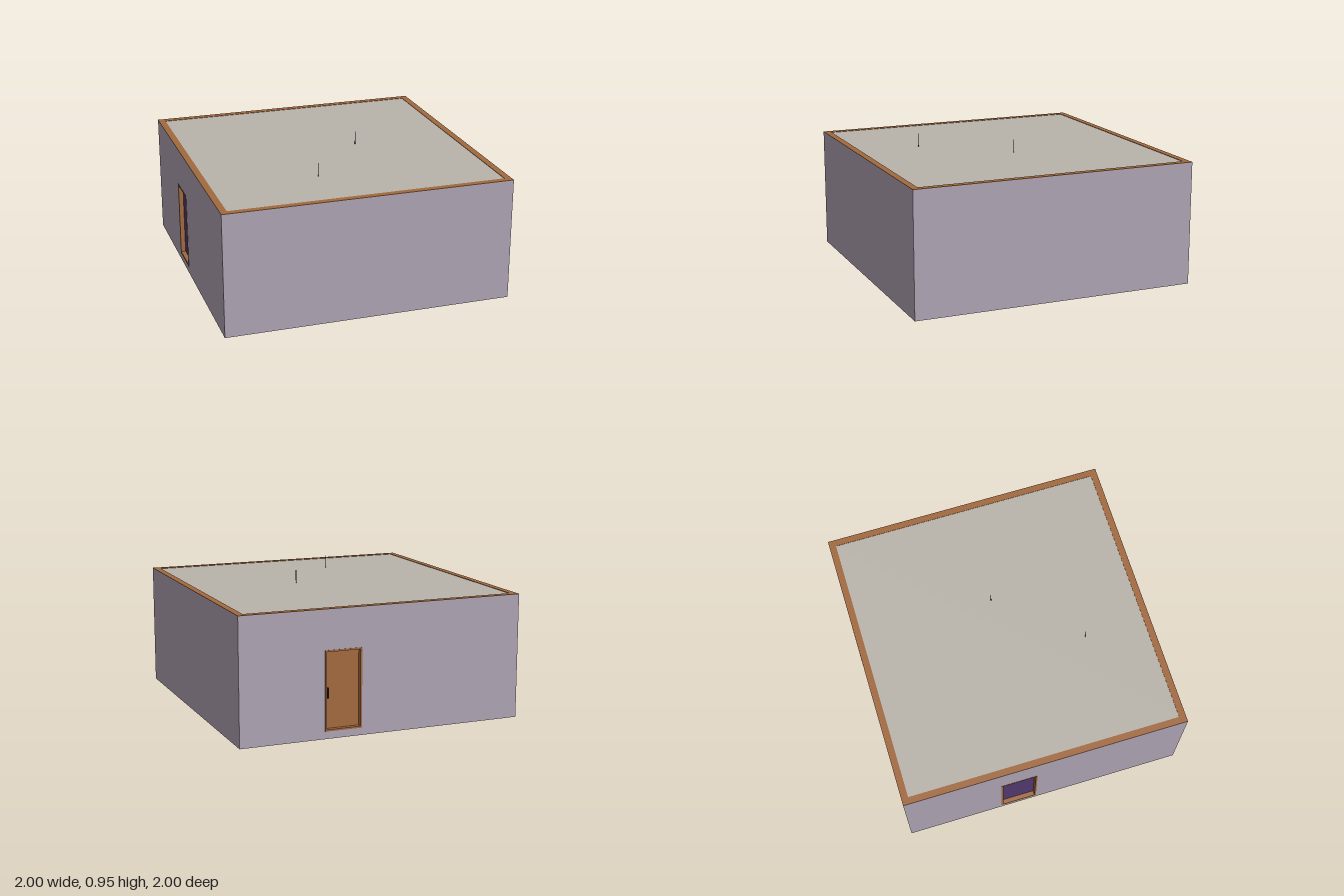
import * as THREE from 'three';

const H = 0.86, T = 0.047;                 // wall height and thickness
const DOOR = { w: 0.26, y0: 0.05, y1: 0.59, frame: 0.012, recess: 0.03 };

export function createModel() {
  const mat = (name, color) => {
    const m = new THREE.MeshStandardMaterial({ color });
    m.name = name;
    return m;
  };
  const plaster = mat('lilac plaster', 0xada2b2);
  const wood = mat('brown wood', 0xa2693e);
  const stone = mat('pale ceiling', 0xb8b3aa);
  const floorWood = mat('floor brown', 0x967c66);
  const violet = mat('dark violet', 0x52376e);
  const dark = mat('dark metal', 0x2b2624);

  const model = new THREE.Group();
  model.name = 'room';

  const add = (parent, name, geometry, material, x = 0, y = 0, z = 0) => {
    const mesh = new THREE.Mesh(geometry, material);
    mesh.name = name;
    mesh.position.set(x, y, z);
    parent.add(mesh);
    return mesh;
  };
  const box = (w, h, d) => new THREE.BoxGeometry(w, h, d);
  const rect = (x0, y0, x1, y1, Type = THREE.Shape) =>
    new Type([[x0, y0], [x1, y0], [x1, y1], [x0, y1]].map(p => new THREE.Vector2(...p)));
  const extrude = (shape, depth) => new THREE.ExtrudeGeometry(shape, { depth, bevelEnabled: false });

  // Framed, recessed door centred on local x, with the outer wall face at z = 0
  function addDoor(wall, cx, panelMaterial, handle) {
    const { w, y0, y1, frame, recess } = DOOR;
    const door = new THREE.Group();
    door.name = 'door';
    door.position.x = cx;
    wall.add(door);
    const ring = rect(-w / 2, y0, w / 2, y1);
    ring.holes.push(rect(-w / 2 + frame, y0 + frame, w / 2 - frame, y1 - frame, THREE.Path));
    add(door, 'doorFrame', extrude(ring, T + 0.002), wood, 0, 0, -T);
    add(door, 'doorPanel', box(w - 2 * frame, y1 - y0 - 2 * frame, 0.01), panelMaterial,
      0, (y0 + y1) / 2, -recess - 0.005);
    if (handle) add(door, 'doorHandle', box(0.008, 0.07, 0.014), dark, -0.1, 0.3, -recess + 0.007);
  }

  // Wall seen from outside along its local +z, optionally pierced by a door
  function addWall(name, length, angle, door) {
    const wall = new THREE.Group();
    wall.name = name;
    wall.rotation.y = angle;
    wall.position.set(Math.sin(angle), 0, Math.cos(angle));
    model.add(wall);
    const shape = rect(-length / 2, 0, length / 2, H - 0.003);
    if (door) {
      shape.holes.push(rect(door.x - DOOR.w / 2, DOOR.y0, door.x + DOOR.w / 2, DOOR.y1, THREE.Path));
      addDoor(wall, door.x, door.material, door.handle);
    }
    add(wall, 'wallPanel', extrude(shape, T), plaster, 0, 0, -T);
    add(wall, 'wallCap', box(length, 0.003, T), wood, 0, H - 0.0015, -T / 2);
  }

  const inner = 2 - 2 * T;
  addWall('frontWall', 2, 0);
  addWall('backWall', 2, Math.PI, { x: -0.285, material: wood, handle: true });
  addWall('leftWall', inner, Math.PI / 2);
  addWall('rightWall', inner, -Math.PI / 2, { x: -0.19, material: violet, handle: false });

  // Floor and ceiling set between the walls
  add(model, 'floor', box(inner, 0.02, inner), floorWood, 0, 0.011, 0);
  add(model, 'ceiling', box(inner, 0.02, inner), stone, 0, H - 0.013, 0);

  // Thin rods rising through the ceiling
  for (const [x, z] of [[-0.215, 0.525], [0.235, -0.02]]) {
    add(model, 'ceilingRod', new THREE.CylinderGeometry(0.002, 0.002, 0.12, 6), dark, x, 0.89, z);
  }
  return model;
}
